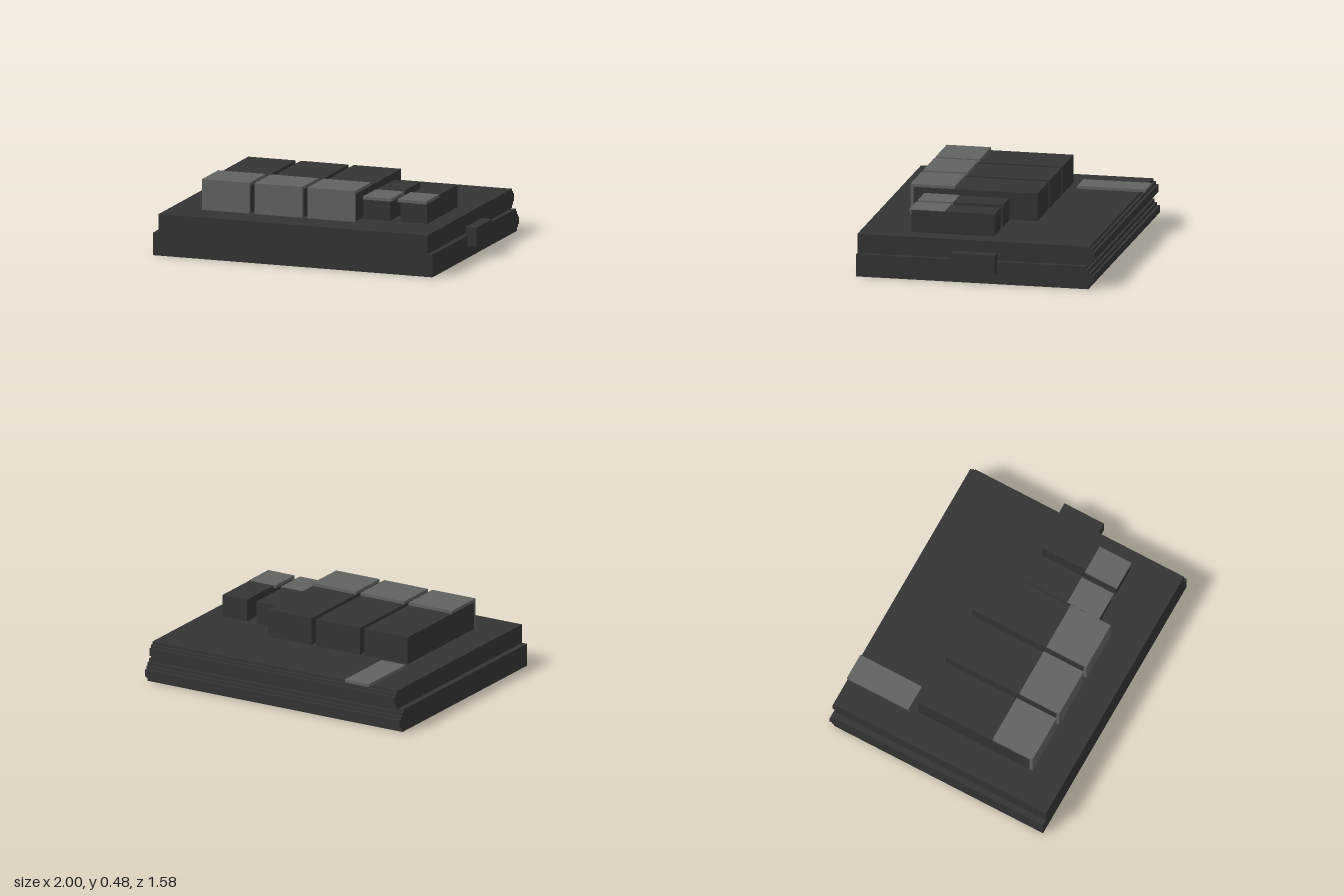
import * as THREE from 'three';

export function createModel() {
  const model = new THREE.Group();
  const dark = new THREE.MeshStandardMaterial({ color: 0x343434 });
  dark.name = 'charcoal';
  const light = new THREE.MeshStandardMaterial({ color: 0x60635f });
  light.name = 'grey';

  // Box given by its limits on each axis
  function box(name, material, [x0, x1], [y0, y1], [z0, z1], parent = model) {
    const mesh = new THREE.Mesh(new THREE.BoxGeometry(x1 - x0, y1 - y0, z1 - z0), material);
    mesh.position.set((x0 + x1) / 2, (y0 + y1) / 2, (z0 + z1) / 2);
    mesh.name = name;
    parent.add(mesh);
  }

  // Slab with a stepped, bulging back edge: steps are [z, top y] from the bottom up
  function slab(name, x0, x1, bottom, steps) {
    const shape = new THREE.Shape();
    shape.moveTo(0.79, bottom);
    let y = bottom;
    for (const [z, top] of steps) {
      shape.lineTo(z, y);
      shape.lineTo(z, top);
      y = top;
    }
    shape.lineTo(0.79, y);
    shape.closePath();
    const geometry = new THREE.ExtrudeGeometry(shape, { depth: x1 - x0, bevelEnabled: false });
    geometry.rotateY(-Math.PI / 2).translate(x1, 0, 0);
    const mesh = new THREE.Mesh(geometry, dark);
    mesh.name = name;
    model.add(mesh);
  }

  // Two-tier base
  slab('lowerBase', -1, 0.94, 0,
    [[-0.755, 0.025], [-0.772, 0.04], [-0.79, 0.088], [-0.772, 0.107], [-0.755, 0.13], [-0.737, 0.15]]);
  slab('upperBase', -0.96, 0.905, 0.15,
    [[-0.755, 0.168], [-0.772, 0.188], [-0.79, 0.24], [-0.772, 0.258], [-0.755, 0.276]]);

  // Three large blocks with a grey plate over the front and front top
  for (const [x0, x1] of [[-0.743, -0.415], [-0.38, -0.048], [-0.012, 0.318]]) {
    const block = new THREE.Group();
    block.name = 'largeBlock';
    box('largeBlockBody', dark, [x0, x1], [0.276, 0.46], [-0.275, 0.55], block);
    box('largeBlockTopPlate', light, [x0, x1], [0.46, 0.48], [0.275, 0.57], block);
    box('largeBlockFrontPlate', light, [x0, x1], [0.276, 0.46], [0.55, 0.57], block);
    model.add(block);
  }

  // Two small blocks with overhanging grey caps
  for (const [x0, x1, c0, c1] of [[0.337, 0.52, 0.337, 0.535], [0.592, 0.777, 0.577, 0.777]]) {
    const block = new THREE.Group();
    block.name = 'smallBlock';
    box('smallBlockBody', dark, [x0, x1], [0.276, 0.424], [-0.092, 0.46], block);
    box('smallBlockCap', light, [c0, c1], [0.408, 0.428], [0.237, 0.473], block);
    model.add(block);
  }

  // Rear tab and side latch
  box('rearTab', light, [-0.765, -0.582], [0.276, 0.295], [-0.79, -0.335]);
  box('sideLatch', dark, [0.925, 1], [0.08, 0.205], [-0.146, 0.146]);

  return model;
}
